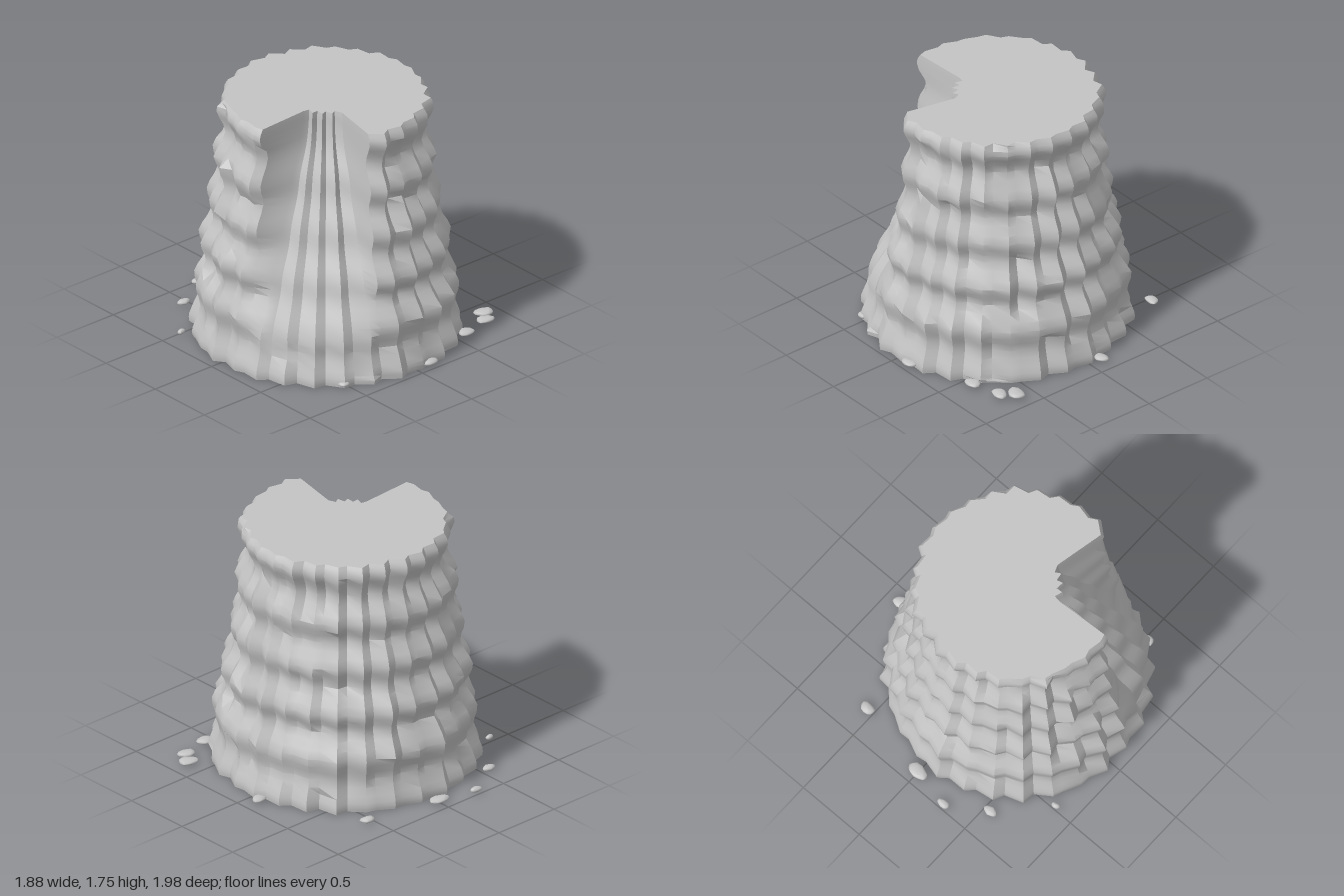
import * as THREE from 'three';
import { toCreasedNormals } from 'three/addons/utils/BufferGeometryUtils.js';

const CX = -0.035, CZ = 0.06, HEIGHT = 1.75, TEETH = 28, ROWS = 36;

// repeatable pseudo-random value in 0..1
const hash = (a, b = 0) => {
  const s = Math.sin(a * 127.1 + b * 311.7 + 4.2) * 43758.5453;
  return s - Math.floor(s);
};

// rippled, tapering silhouette as (radius, height)
const profile = new THREE.SplineCurve([
  [0.89, 0], [0.89, 0.06], [0.84, 0.22], [0.87, 0.38], [0.785, 0.55], [0.82, 0.69],
  [0.735, 0.86], [0.765, 1.01], [0.69, 1.18], [0.725, 1.33], [0.645, 1.51],
  [0.705, 1.67], [0.675, HEIGHT],
].map(([r, y]) => new THREE.Vector2(r, y)));

// each tooth is a short riser followed by a long sloping face
function rockPoint(col, row) {
  const c = col % (TEETH * 2), tooth = Math.floor(c / 2), high = c % 2;
  const angle = ((tooth + (high ? 0.36 : 0)) / TEETH) * Math.PI * 2 + 0.05;
  const p = profile.getPoint(row / ROWS);
  const band = Math.floor(p.y / 0.42 + hash(tooth, 9));
  const amp = 0.004 + 0.03 * hash(tooth, band + 1);
  let r = p.x + (high ? amp : -amp) + 0.02 * (hash(tooth, band + 20) - 0.5);
  // wedge-shaped cleft, deepest at the top and running out near the foot
  const deg = THREE.MathUtils.radToDeg(angle);
  if (deg > 109 && deg < 163) {
    const ripple = (p.x - (0.89 - 0.12 * p.y)) * 0.35;
    const floor = 0.28 + Math.max(0, 1.66 - p.y) * 0.41 + ripple + (high ? 0.02 : -0.02);
    r = Math.min(r, floor);
  }
  return [CX + r * Math.cos(angle), Math.max(0, p.y), CZ + r * Math.sin(angle)];
}

function rockGeometry() {
  const pos = [], cols = TEETH * 2;
  const tri = (...pts) => pts.forEach((p) => pos.push(...p));
  for (let i = 0; i < cols; i++) {
    for (let j = 0; j < ROWS; j++) {
      const a = rockPoint(i, j), b = rockPoint(i, j + 1);
      const c = rockPoint(i + 1, j + 1), d = rockPoint(i + 1, j);
      tri(a, b, c);
      tri(a, c, d);
    }
    // flat top and underside
    tri([CX, HEIGHT, CZ], rockPoint(i + 1, ROWS), rockPoint(i, ROWS));
    tri([CX, 0, CZ], rockPoint(i, 0), rockPoint(i + 1, 0));
  }
  const g = new THREE.BufferGeometry();
  g.setAttribute('position', new THREE.Float32BufferAttribute(pos, 3));
  return toCreasedNormals(g, 0.55);
}

// small flattened, slightly lumpy stone
function pebbleGeometry(seed) {
  const g = new THREE.IcosahedronGeometry(1, 1);
  const p = g.attributes.position;
  for (let i = 0; i < p.count; i++) {
    const x = p.getX(i), y = p.getY(i), z = p.getZ(i);
    const k = 0.95 + 0.12 * Math.sin(x * 3 + seed) * Math.cos(z * 2.5 + seed * 2);
    p.setXYZ(i, x * k, y * k, z * k);
  }
  return toCreasedNormals(g, 0.8);
}

export function createModel() {
  const model = new THREE.Group();
  model.name = 'rockPillar';
  const stone = new THREE.MeshStandardMaterial({ color: 0xc4c4c4 });
  stone.name = 'grey stone';

  const rock = new THREE.Mesh(rockGeometry(), stone);
  rock.name = 'rockBody';
  model.add(rock);

  // loose stones around the foot: x, z, half width, half depth
  const pebbles = [
    [-0.28, -0.97, 0.05, 0.03], [-0.55, -0.8, 0.05, 0.033], [0, -0.91, 0.08, 0.05],
    [0.55, -0.8, 0.06, 0.042], [-0.85, -0.48, 0.034, 0.022], [0.885, -0.09, 0.055, 0.045],
    [0.865, 0.63, 0.073, 0.058], [0.8, 0.72, 0.068, 0.05], [0.585, 0.775, 0.062, 0.05],
    [0.12, 0.945, 0.066, 0.042], [-0.53, 0.81, 0.045, 0.037],
  ];
  pebbles.forEach(([x, z, w, d], i) => {
    const pebble = new THREE.Mesh(pebbleGeometry(i * 1.7), stone);
    pebble.name = `pebble${i + 1}`;
    pebble.position.set(x, 0.025, z);
    pebble.scale.set(w, 0.019, d);
    model.add(pebble);
  });
  return model;
}
